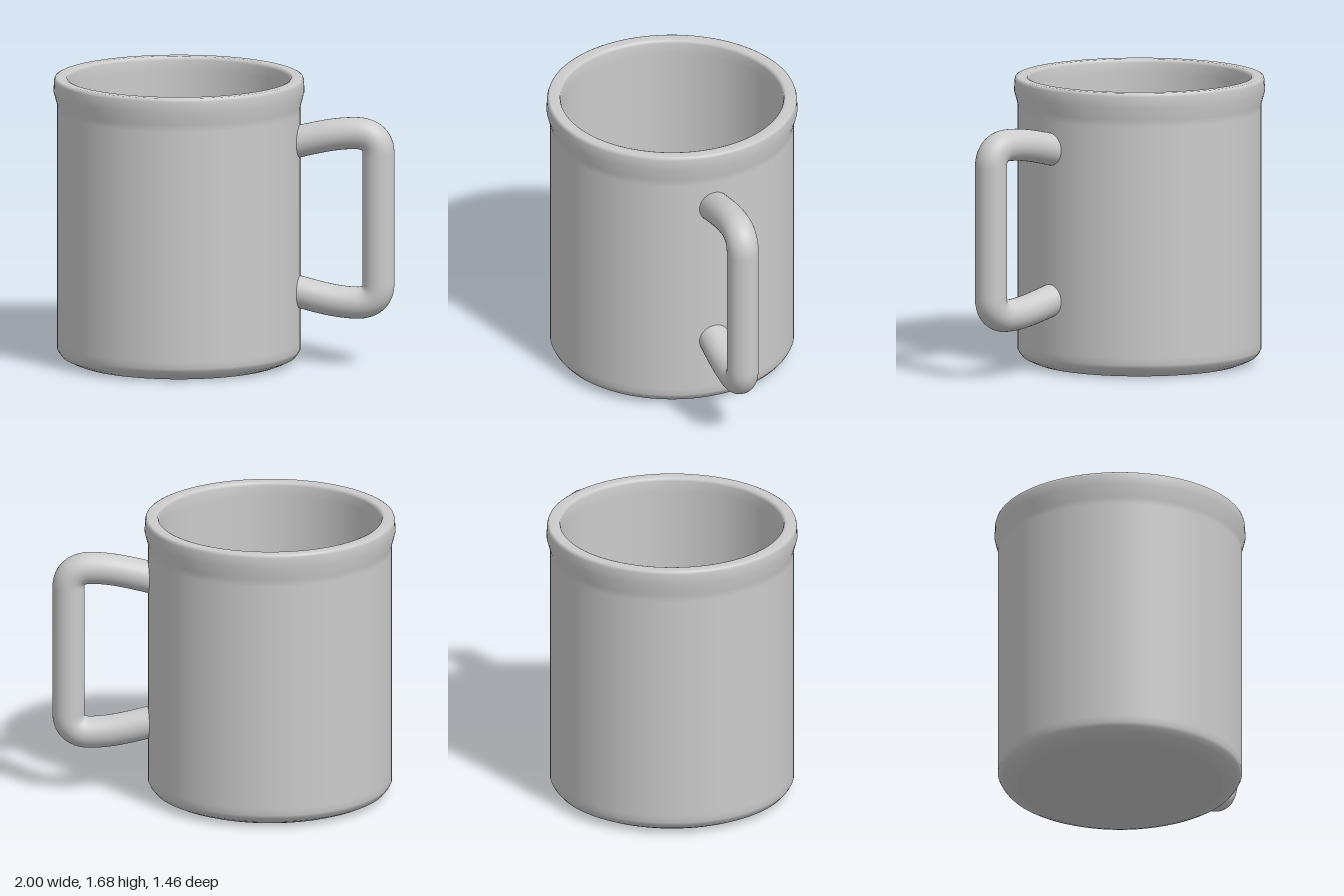
import * as THREE from 'three';

const v = (x, y) => new THREE.Vector3(x, y, 0);

export function createModel() {
  const group = new THREE.Group();
  const material = new THREE.MeshStandardMaterial({ color: 0xcccccc });

  // Cup: one closed profile, outside from the base up and inside back down.
  // Repeated points keep the edge there sharp.
  const profile = [
    [0, 0], [0.6, 0], [0.6, 0], // base
    [0.64, 0.015], [0.68, 0.035], [0.7, 0.06], [0.71, 0.08], [0.71, 0.12], // rounded foot
    [0.71, 1.48], [0.71, 1.52], [0.73, 1.595], [0.727, 1.66], [0.722, 1.675], [0.712, 1.68], // flared rim
    [0.665, 1.68], [0.652, 1.675], [0.647, 1.66], [0.643, 1.6], // lip
    [0.643, 0.16], [0.63, 0.12], [0.59, 0.09], [0.53, 0.08], [0, 0.08], // inner wall and floor
  ].map(([r, y]) => new THREE.Vector2(r, y));
  const cup = new THREE.Mesh(new THREE.LatheGeometry(profile, 96), material);
  cup.name = 'cup';
  cup.position.x = -0.27;
  group.add(cup);

  // Handle: a round tube, its lower half mirroring the upper about midY
  const midY = 0.873;
  const upper = [
    [v(0.405, 1.31), v(0.53, 1.34), v(0.65, 1.375), v(0.78, 1.374)], // arm
    [v(0.78, 1.374), v(0.85, 1.374), v(0.903, 1.335), v(0.903, 1.26)], // bend
  ];
  const flip = (p) => v(p.x, 2 * midY - p.y);
  const lower = upper.map((c) => c.map(flip).reverse()).reverse();
  const path = new THREE.CurvePath();
  upper.forEach((c) => path.add(new THREE.CubicBezierCurve3(...c)));
  path.add(new THREE.LineCurve3(upper[1][3], lower[0][0]));
  lower.forEach((c) => path.add(new THREE.CubicBezierCurve3(...c)));
  const handle = new THREE.Mesh(new THREE.TubeGeometry(path, 140, 0.093, 32), material);
  handle.name = 'handle';
  group.add(handle);

  return group;
}
